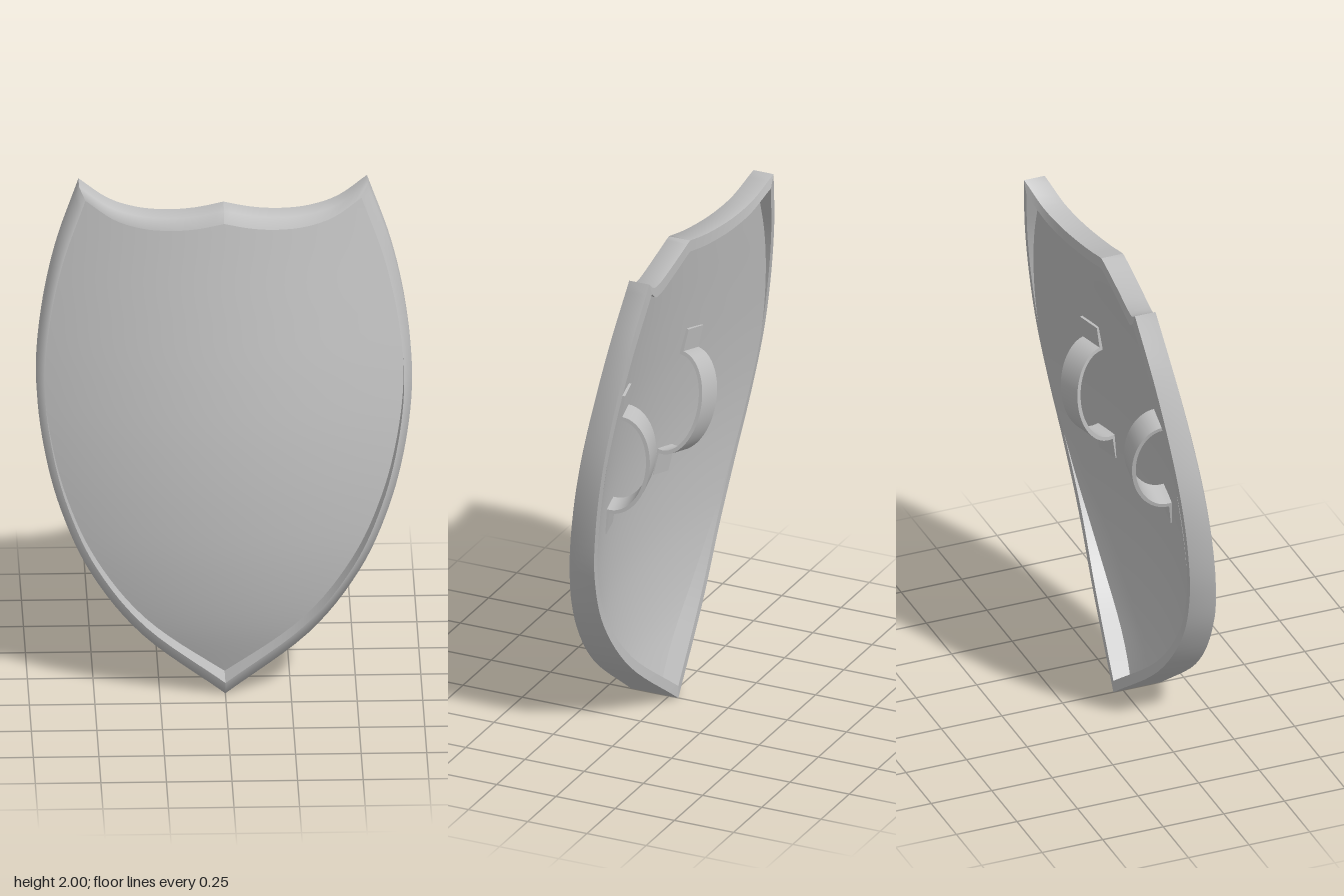
import * as THREE from 'three';
import { ParametricGeometry } from 'three/addons/geometries/ParametricGeometry.js';
import { mergeGeometries, toCreasedNormals } from 'three/addons/utils/BufferGeometryUtils.js';

// Smooth curve through evenly spaced values; t runs from 0 to 1
function curve(values) {
  const n = values.length - 1;
  const p = [2 * values[0] - values[1], ...values, 2 * values[n] - values[n - 1]];
  return (t) => {
    const s = THREE.MathUtils.clamp(t, 0, 1) * n, i = Math.min(Math.floor(s), n - 1), f = s - i;
    const [a, b, c, d] = p.slice(i, i + 4);
    return b + 0.5 * f * (c - a + f * (2 * a - 5 * b + 4 * c - d + f * (3 * (b - c) + d - a)));
  };
}

// Outline and depth tables, from the tip (y = 0) to the top corners (y = 2)
const halfWidth = curve([0, 0.315, 0.51, 0.625, 0.69, 0.716, 0.695, 0.64, 0.55]);
const rimFront = curve([0.16, 0.168, 0.153, 0.117, 0.076, 0.033, -0.01, -0.053, -0.095]);
const rimBack = curve([-0.04, 0.01, 0.03, 0.015, -0.02, -0.06, -0.1, -0.14, -0.18]);
const spine = curve([0.045, 0.117, 0.152, 0.158, 0.144, 0.113, 0.072, 0.028, -0.015]);
// Top edge height, from the middle peak to a corner
const topEdge = curve([1.935, 1.911, 1.9, 1.904, 1.932, 2]);

const THICKNESS = 0.03;
const insetX = (x) => x * 0.957;
const insetY = (y) => 0.05 + 0.95 * y;
const panelZ = (x, y) => spine(y / 2) - 0.31 * x * x;

function surface(fn, nu, nv) {
  const g = new ParametricGeometry((u, v, target) => target.set(...fn(u, v)), nu, nv);
  g.computeVertexNormals();
  return g;
}

// Curved panel sheet: side = 1 is the front, -1 the back
function panelSheet(side) {
  return surface((u, v) => {
    const s = (2 * u - 1) * side;
    const x = insetX(s * halfWidth(v));
    const y = insetY(2 * v + v ** 6 * (topEdge(Math.abs(s)) - 2));
    return [x, y, panelZ(x, y) - (side < 0 ? THICKNESS : 0)];
  }, 40, 48);
}

// One half of the rim: side run and top run; front and outside share smooth normals
function rimHalf(sign) {
  const sideRun = (t) => [halfWidth(t), 2 * t, rimFront(t), rimBack(t)];
  const topRun = (t) => {
    const s = 1 - t;
    return [0.55 * s, topEdge(s), -0.095 * s * s, -0.09 - 0.09 * s * s];
  };
  const faces = [];
  for (const [run, steps] of [[sideRun, 48], [topRun, 20]]) {
    const section = (t, corner) => {
      const [x, y, front, back] = run(t);
      return [
        [sign * insetX(x), insetY(y), front + 0.017], [sign * x, y, front],
        [sign * x, y, back], [sign * insetX(x), insetY(y), back],
      ][corner % 4];
    };
    // first corner and number of segments of each smooth strip
    for (const [first, count] of [[0, 2], [2, 1], [3, 1]]) {
      faces.push(surface((u, v) => {
        const w = sign > 0 ? u : 1 - u;
        return section(v, first + Math.round(w * count));
      }, count, steps));
    }
  }
  return mergeGeometries(faces);
}

// Arched hand strap with a flat pad at each end
function strapGeometry() {
  const width = 0.11, shape = new THREE.Shape();
  const arc = (rx, ry, t) => shape.lineTo(-rx * Math.cos(t * Math.PI), 0.012 + ry * Math.sin(t * Math.PI));
  shape.moveTo(-0.3, -0.015);
  shape.lineTo(-0.3, 0.012);
  for (let i = 0; i <= 28; i++) arc(0.21, 0.132, i / 28);
  shape.lineTo(0.3, 0.012);
  shape.lineTo(0.3, -0.015);
  shape.lineTo(0.195, -0.015);
  for (let i = 28; i >= 0; i--) arc(0.195, 0.117, i / 28);
  shape.lineTo(-0.195, -0.015);
  const g = new THREE.ExtrudeGeometry(shape, { depth: width, bevelEnabled: false });
  g.translate(0, 0, -width / 2);
  g.applyMatrix4(new THREE.Matrix4().makeBasis(
    new THREE.Vector3(0, 1, 0), new THREE.Vector3(0, 0, -1), new THREE.Vector3(-1, 0, 0)));
  return toCreasedNormals(g, 0.6);
}

export function createModel() {
  const shield = new THREE.Group();
  shield.name = 'shield';
  const grey = new THREE.MeshStandardMaterial({ color: 0xbfbfbf, side: THREE.DoubleSide });
  grey.name = 'plain grey';
  const add = (name, geometry) => {
    const mesh = new THREE.Mesh(geometry, grey);
    mesh.name = name;
    shield.add(mesh);
    return mesh;
  };

  add('panelFront', panelSheet(1));
  add('panelBack', panelSheet(-1));
  add('rimLeft', rimHalf(1));
  add('rimRight', rimHalf(-1));

  // Straps on the back: one upright, one leaning
  const strap = strapGeometry();
  for (const [name, x, lean] of [['strapLeft', 0.355, 0], ['strapRight', -0.225, 0.2]]) {
    const mesh = add(name, strap);
    mesh.position.set(x, 1.14, panelZ(x, 1.14) - THICKNESS - 0.005);
    mesh.rotation.set(-0.13, 0.62 * x, lean);
  }
  return shield;
}
